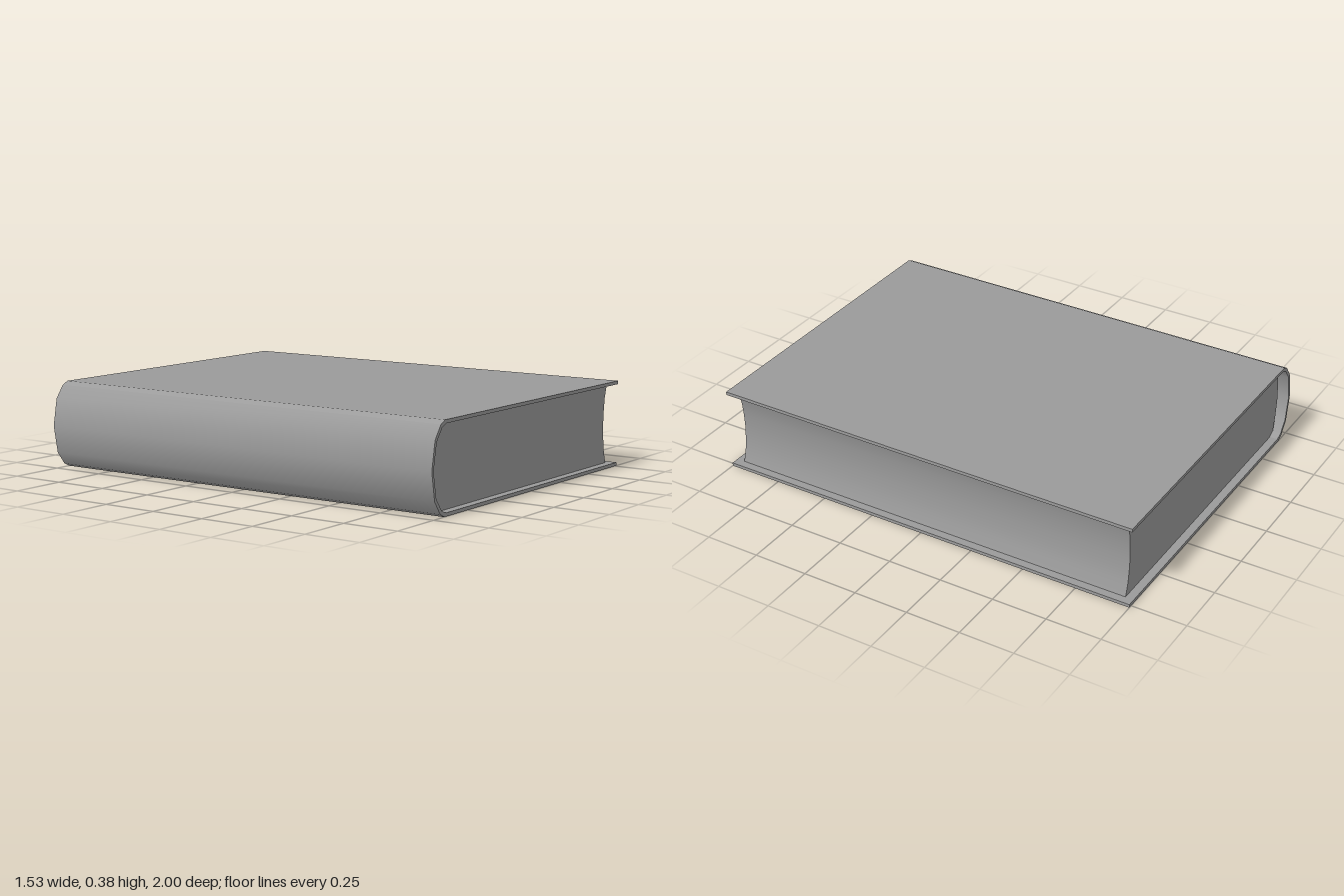
import * as THREE from 'three';
import { toCreasedNormals } from 'three/addons/utils/BufferGeometryUtils.js';

const HEIGHT = 0.385;
const BOARD = 0.015;

// Extrude an x-y profile along z, centred on z = 0
function prism(name, points, length, material) {
  const shape = new THREE.Shape(points.map(([x, y]) => new THREE.Vector2(x, y)));
  const geometry = new THREE.ExtrudeGeometry(shape, { depth: length, bevelEnabled: false });
  geometry.translate(0, 0, -length / 2);
  const mesh = new THREE.Mesh(toCreasedNormals(geometry, 0.6), material);
  mesh.name = name;
  return mesh;
}

// Turn a profile upside down about mid height
const flip = (points) => points.map(([x, y]) => [x, HEIGHT - y]).reverse();

// Complete a curve (given from its top to mid height) with its mirrored lower half
const mirrorDown = (upper) => [...upper, ...flip(upper.slice(0, -1))];

export function createModel() {
  const book = new THREE.Group();
  book.name = 'book';
  const material = new THREE.MeshStandardMaterial({ color: 0x9b9b9b });
  const top = HEIGHT - BOARD;

  // Flat cover boards, each with a sloping hinge towards the spine
  const board = [[0.765, HEIGHT], [-0.672, HEIGHT], [-0.66, top], [0.765, top]];
  const hinge = [[-0.672, HEIGHT], [-0.702, 0.37], [-0.692, 0.357], [-0.66, top]];
  book.add(
    prism('frontCover', board, 2, material),
    prism('backCover', flip(board), 2, material),
    prism('frontHinge', hinge, 2, material),
    prism('backHinge', flip(hinge), 2, material),
  );

  // Hollow rounded spine
  const outer = mirrorDown([[-0.702, 0.37], [-0.743, 0.314], [-0.765, HEIGHT / 2]]);
  const inner = mirrorDown([[-0.692, 0.357], [-0.731, 0.305], [-0.752, HEIGHT / 2]]);
  book.add(prism('spine', [...outer, ...inner.reverse()], 2, material));

  // Page block: rounded at the spine, hollowed at the fore edge
  const back = mirrorDown([[-0.655, top], [-0.69, 0.352], [-0.704, 0.28], [-0.712, HEIGHT / 2]]);
  const fore = mirrorDown([[0.728, top], [0.711, 0.31], [0.704, 0.25], [0.701, HEIGHT / 2]]);
  book.add(prism('pages', [...back, ...fore.reverse()], 1.925, material));

  return book;
}
